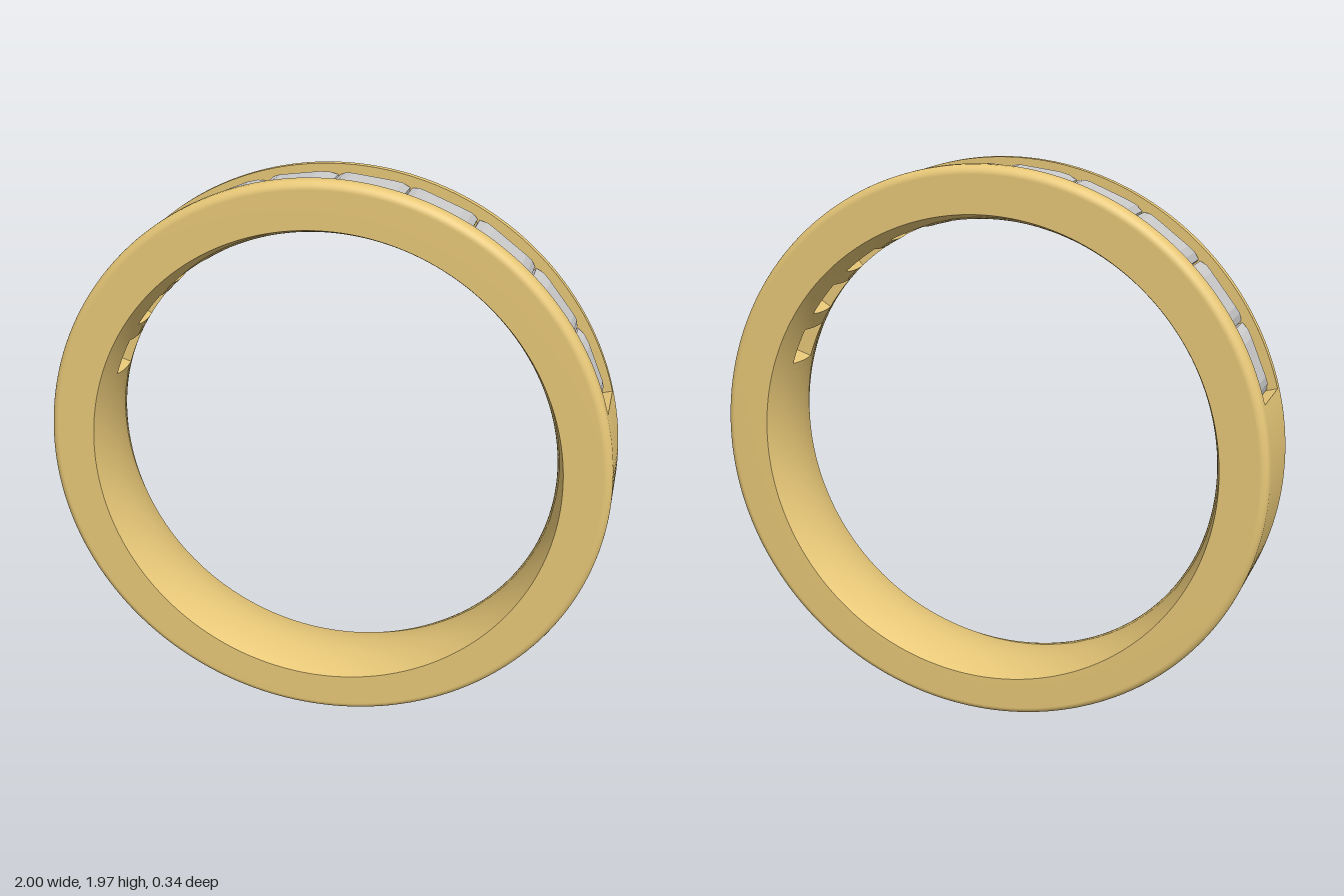
import * as THREE from 'three';
import { mergeGeometries } from 'three/addons/utils/BufferGeometryUtils.js';

const DEG = Math.PI / 180;
const HALF_W = 0.17;      // half width of the band
const CHANNEL = 0.115;    // half width of the stone channel
const FLOOR = 0.87;       // radius of the channel floor
const END = 75;           // channel runs from -75 to 75 degrees from the top
const STONES = 10, PITCH = 2 * END / STONES;
const WIN_Z = 0.07, WIN_A = 5;   // half sizes of the windows below the stones

// comfort-fit inner radius, wider at the edges
const innerR = z => 0.804 + 0.033 * (z / HALF_W) ** 2;
const span = (a, b, n) => Array.from({ length: n + 1 }, (_, i) => a + (b - a) * i / n);
const arc = (a, b) => span(a, b, Math.max(2, Math.ceil(Math.abs(b - a) / 1.5)));

// angle is measured from the top; the shank gets a little thinner at the bottom
function polar(deg, r, z) {
  const c = Math.cos(deg * DEG);
  const k = Math.min(1, Math.max(0, (r - 0.837) / 0.163));
  const rr = r - (c < 0 ? 0.026 * c * c * k : 0);
  return [rr * Math.sin(deg * DEG), rr * c, z];
}

// smooth patch over two lists of parameters
function grid(us, vs, fn) {
  const pos = [], idx = [], n = vs.length;
  us.forEach(u => vs.forEach(v => pos.push(...fn(u, v))));
  for (let i = 0; i < us.length - 1; i++) {
    for (let j = 0; j < n - 1; j++) {
      const a = i * n + j, b = a + n;
      idx.push(a, b, a + 1, b, b + 1, a + 1);
    }
  }
  const g = new THREE.BufferGeometry();
  g.setAttribute('position', new THREE.Float32BufferAttribute(pos, 3));
  g.setIndex(idx);
  g.computeVertexNormals();
  return g;
}

// profile of [radius, z] points swept from angle a to angle b
const sweep = (profile, a, b) => grid(arc(a, b), profile, (t, p) => polar(t, p[0], p[1]));
const innerStrip = (z0, z1) => span(z0, z1, 8).map(z => [innerR(z), z]);

function bandGeometry() {
  const parts = [];
  for (const s of [1, -1]) {
    // flat side, rounded outer edge and rim
    const rim = [[innerR(HALF_W), s * HALF_W]];
    for (const f of span(0, 90, 6)) {
      rim.push([0.97 + 0.03 * Math.sin(f * DEG), s * (0.14 + 0.03 * Math.cos(f * DEG))]);
    }
    rim.push([1, s * CHANNEL]);
    parts.push(sweep(rim, -180, 180));
    parts.push(sweep(innerStrip(s * WIN_Z, s * HALF_W), -180, 180));
  }
  // solid lower shank between the channel ends
  parts.push(sweep([[1, -CHANNEL], [1, CHANNEL]], END, 360 - END));
  parts.push(sweep(innerStrip(-WIN_Z, WIN_Z), END, 360 - END));
  return mergeGeometries(parts);
}

function channelGeometry() {
  const parts = [];
  for (const s of [1, -1]) {
    // side walls, floor ledges and end walls
    parts.push(sweep([[FLOOR, s * CHANNEL], [1, s * CHANNEL]], -END, END));
    parts.push(sweep([[FLOOR, s * WIN_Z], [FLOOR, s * CHANNEL]], -END, END));
    parts.push(grid([FLOOR, 1], [-CHANNEL, CHANNEL], (r, z) => polar(s * END, r, z)));
  }
  for (let i = 0; i < STONES; i++) {
    const mid = -END + PITCH * (i + 0.5);
    for (const s of [1, -1]) {
      const edge = mid + s * WIN_A, next = mid + s * PITCH / 2;
      // half bars beside the window, below and above
      parts.push(sweep(innerStrip(-WIN_Z, WIN_Z), edge, next));
      parts.push(sweep([[FLOOR, -WIN_Z], [FLOOR, WIN_Z]], edge, next));
      // window walls
      parts.push(sweep([[innerR(WIN_Z), s * WIN_Z], [FLOOR, s * WIN_Z]], mid - WIN_A, mid + WIN_A));
      parts.push(grid([0, 1], span(-WIN_Z, WIN_Z, 8),
        (u, z) => polar(edge, innerR(z) * (1 - u) + FLOOR * u, z)));
    }
  }
  return mergeGeometries(parts);
}

// square-cut stone: stacked rectangles [radius, half length, half width], table to culet
function stoneGeometry() {
  const levels = [
    [0.981, 0.070, 0.062], [0.972, 0.098, 0.090], [0.955, 0.122, 0.113],
    [0.942, 0.122, 0.113], [0.885, 0.060, 0.056], [0.835, 0, 0],
  ];
  const corners = [[1, 1], [1, -1], [-1, -1], [-1, 1]];
  const rings = levels.map(([y, a, b]) => corners.map(([x, z]) => [x * a, y, z * b]));
  const pos = [];
  const tri = (...pts) => pts.forEach(p => pos.push(...p));
  const [t0, t1, t2, t3] = rings[0];
  tri(t0, t1, t2);
  tri(t0, t2, t3);
  for (let k = 0; k < rings.length - 1; k++) {
    for (let i = 0; i < 4; i++) {
      const j = (i + 1) % 4, a = rings[k], b = rings[k + 1];
      tri(a[i], b[i], b[j]);
      if (k < rings.length - 2) tri(a[i], b[j], a[j]);
      else pos.splice(-9, 9, ...a[i], ...b[i], ...a[j]);
    }
  }
  const g = new THREE.BufferGeometry();
  g.setAttribute('position', new THREE.Float32BufferAttribute(pos, 3));
  g.computeVertexNormals();
  return g;
}

export function createModel() {
  const model = new THREE.Group();
  model.name = 'ring';
  const gold = new THREE.MeshStandardMaterial({ color: 0xe8c878, side: THREE.DoubleSide });
  const gem = new THREE.MeshStandardMaterial({ color: 0xcccccc, flatShading: true });

  const add = (name, geometry, material, parent) => {
    const mesh = new THREE.Mesh(geometry, material);
    mesh.name = name;
    parent.add(mesh);
    return mesh;
  };
  add('band', bandGeometry(), gold, model);
  add('stoneChannel', channelGeometry(), gold, model);

  // row of stones over the top
  const stones = new THREE.Group();
  stones.name = 'stones';
  const cut = stoneGeometry();
  for (let i = 0; i < STONES; i++) {
    add('stone' + (i + 1), cut, gem, stones).rotation.z = (END - PITCH * (i + 0.5)) * DEG;
  }
  model.add(stones);

  for (const part of model.children) part.position.y = 0.974;
  return model;
}
